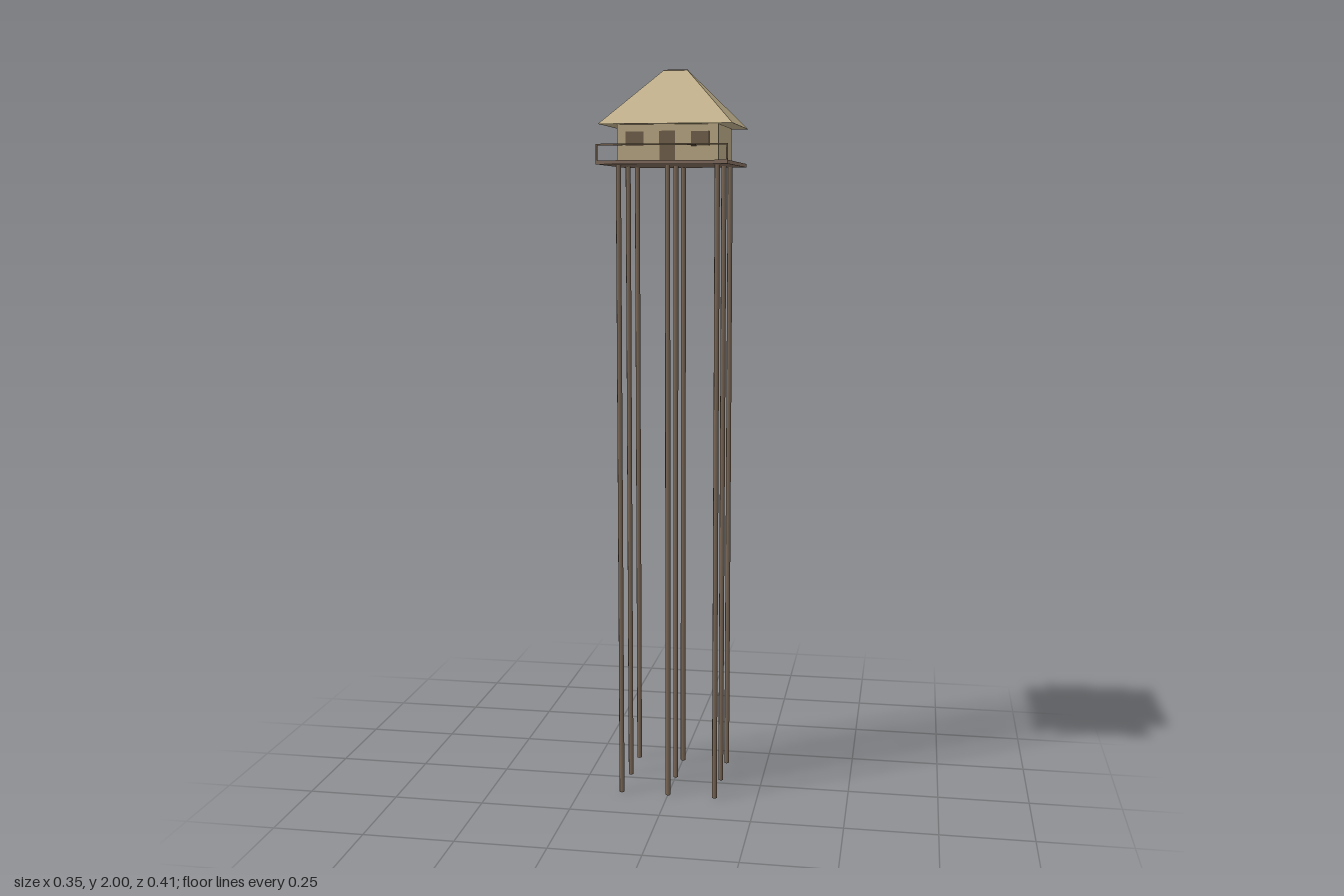
import * as THREE from 'three';

const material = (name, color) => {
  const m = new THREE.MeshStandardMaterial({ color });
  m.name = name;
  return m;
};

export function createModel() {
  const thatch = material('thatch', 0xc4b38e);
  const plaster = material('wall tan', 0xbcab86);
  const deckWood = material('deck wood', 0x836f60);
  const postWood = material('post wood', 0x7a6857);
  const darkWood = material('dark wood', 0x75634f);

  const model = new THREE.Group();
  model.name = 'stiltHouse';
  const add = (name, geometry, mat, x, y, z) => {
    const mesh = new THREE.Mesh(geometry, mat);
    mesh.name = name;
    mesh.position.set(x, y, z);
    model.add(mesh);
    return mesh;
  };
  const box = (name, mat, w, h, d, x, y, z) =>
    add(name, new THREE.BoxGeometry(w, h, d), mat, x, y, z);

  const houseZ = -0.026;

  // Three by three grid of tall stilts
  const stilt = new THREE.CylinderGeometry(0.007, 0.007, 1.746, 8);
  for (const x of [-0.132, 0, 0.132])
    for (const z of [-0.132, 0, 0.132])
      add('stilt', stilt, postWood, x, 0.873, houseZ + z);

  // Deck and walls
  box('deck', deckWood, 0.344, 0.01, 0.403, 0, 1.75, 0.0015);
  box('walls', plaster, 0.27, 0.097, 0.27, 0, 1.8035, houseZ);

  // Hipped roof: a box whose top is drawn in to a short ridge
  const roof = new THREE.BoxGeometry(0.354, 0.148, 0.355);
  const p = roof.attributes.position;
  for (let i = 0; i < p.count; i++)
    if (p.getY(i) > 0) {
      p.setX(i, Math.sign(p.getX(i)) * 0.033);
      p.setZ(i, Math.sign(p.getZ(i)) * 0.008);
    }
  roof.computeVertexNormals();
  add('roof', roof, thatch, 0, 1.924, -0.0275);
  box('ridgeCap', deckWood, 0.066, 0.003, 0.016, 0, 1.9985, -0.0275);

  // Door and windows on the front wall
  const frontZ = houseZ + 0.136;
  box('door', darkWood, 0.042, 0.078, 0.004, 0, 1.794, frontZ);
  for (const side of [-1, 1])
    box('window', darkWood, 0.048, 0.038, 0.004, side * 0.087, 1.813, frontZ);

  // Front railing
  box('rail', darkWood, 0.344, 0.004, 0.004, 0, 1.795, 0.2);
  for (const side of [-1, 1])
    box('railPost', darkWood, 0.004, 0.04, 0.004, side * 0.17, 1.775, 0.2);

  return model;
}
